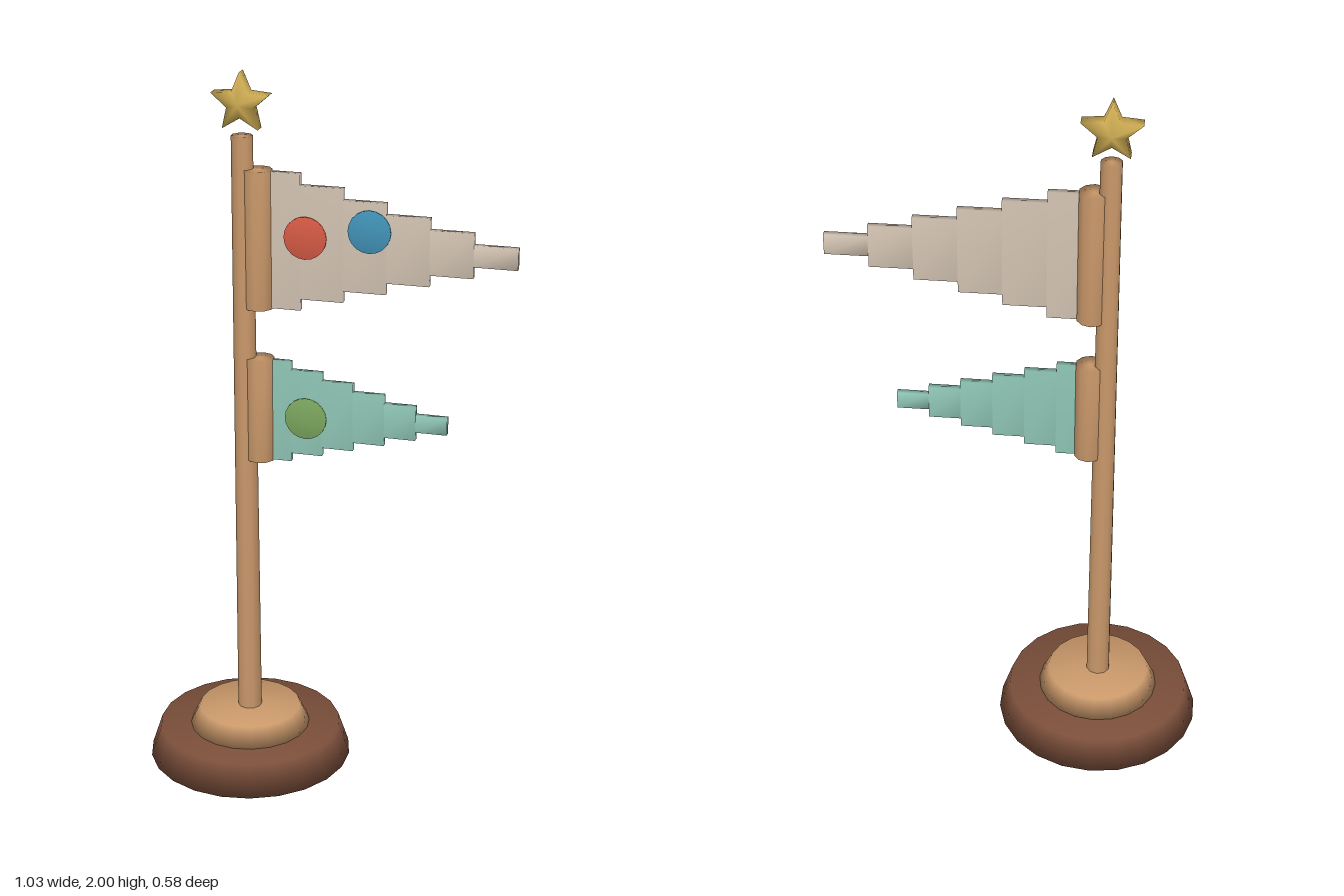
import * as THREE from 'three';
import { mergeVertices } from 'three/addons/utils/BufferGeometryUtils.js';

const POLE_X = -0.23;

function material(name, color) {
  const m = new THREE.MeshStandardMaterial({ color });
  m.name = name;
  return m;
}

// Weld corners so that shading rolls softly over the edges
function soften(geometry) {
  geometry.deleteAttribute('normal');
  geometry.deleteAttribute('uv');
  const welded = mergeVertices(geometry, 1e-4);
  welded.computeVertexNormals();
  return welded;
}

// Five-pointed star with a thick rim and raised centres front and back
function starGeometry(outer, inner, rim, peak) {
  const points = [], index = [], n = 10;
  for (let i = 0; i < n; i++) {
    const a = Math.PI / 2 + (i / n) * Math.PI * 2;
    const r = i % 2 ? inner : outer;
    const x = Math.cos(a) * r, y = Math.sin(a) * r;
    points.push(x, y, rim, x, y, -rim);
  }
  points.push(0, 0, peak, 0, 0, -peak);
  for (let i = 0; i < n; i++) {
    const f = 2 * i, b = f + 1, f2 = 2 * ((i + 1) % n), b2 = f2 + 1;
    index.push(2 * n, f, f2, 2 * n + 1, b2, b, f, b, b2, f, b2, f2);
  }
  const g = new THREE.BufferGeometry();
  g.setAttribute('position', new THREE.Float32BufferAttribute(points, 3));
  g.setIndex(index);
  g.computeVertexNormals();
  return g;
}

export function createModel() {
  const model = new THREE.Group();
  model.name = 'pennantPole';

  const darkWood = material('dark wood', 0x7a4e3a);
  const lightWood = material('light wood', 0xc9986a);
  const cream = material('cream cloth', 0xd2c3b2);
  const teal = material('teal cloth', 0x8fc6b6);
  const red = material('red', 0xd65a45);
  const blue = material('blue', 0x4293b8);
  const green = material('green', 0x7ba65f);
  const gold = material('gold', 0xcdab52);

  function add(name, geometry, mat, x, y, z = 0, parent = model) {
    const mesh = new THREE.Mesh(geometry, mat);
    mesh.name = name;
    mesh.position.set(x, y, z);
    parent.add(mesh);
    return mesh;
  }

  // Upright cylinder between two heights
  function post(name, mat, x, y0, y1, rBottom, rTop, sides, parent) {
    const g = soften(new THREE.CylinderGeometry(rTop, rBottom, y1 - y0, sides));
    return add(name, g, mat, x, (y0 + y1) / 2, 0, parent);
  }

  // Stand and pole
  post('base', darkWood, POLE_X, 0, 0.09, 0.29, 0.26, 22);
  post('baseStep', lightWood, POLE_X, 0.088, 0.146, 0.173, 0.145, 20);
  post('pole', lightWood, POLE_X, 0.13, 1.83, 0.034, 0.029, 10);

  // Stepped pennant with its sleeve
  function pennant(name, mat, y, x0, step, height, drop) {
    const group = new THREE.Group();
    group.name = name;
    model.add(group);
    post(name + 'Sleeve', lightWood, -0.188, y - height / 2 - 0.003, y + height / 2 + 0.003, 0.04, 0.04, 10, group);
    for (let i = 0; i < 6; i++) {
      const g = soften(new THREE.BoxGeometry(step, height - i * drop, 0.018));
      add(name + 'Strip' + (i + 1), g, mat, x0 + (i + 0.5) * step, y, 0, group);
    }
  }
  pennant('upperPennant', cream, 1.551, -0.187, 0.117, 0.376, 0.0635);
  pennant('lowerPennant', teal, 1.069, -0.185, 0.087, 0.29, 0.0483);

  // Round badges on the front of the cloth
  function badge(name, mat, x, y) {
    const g = new THREE.CylinderGeometry(0.058, 0.058, 0.0095, 20);
    g.rotateX(Math.PI / 2);
    add(name, soften(g), mat, x, y, 0.0137);
  }
  badge('redBadge', red, -0.055, 1.567);
  badge('blueBadge', blue, 0.12, 1.597);
  badge('greenBadge', green, -0.055, 1.056);

  // Star above the pole
  add('star', starGeometry(0.083, 0.038, 0.018, 0.043), gold, POLE_X, 1.917);

  return model;
}
